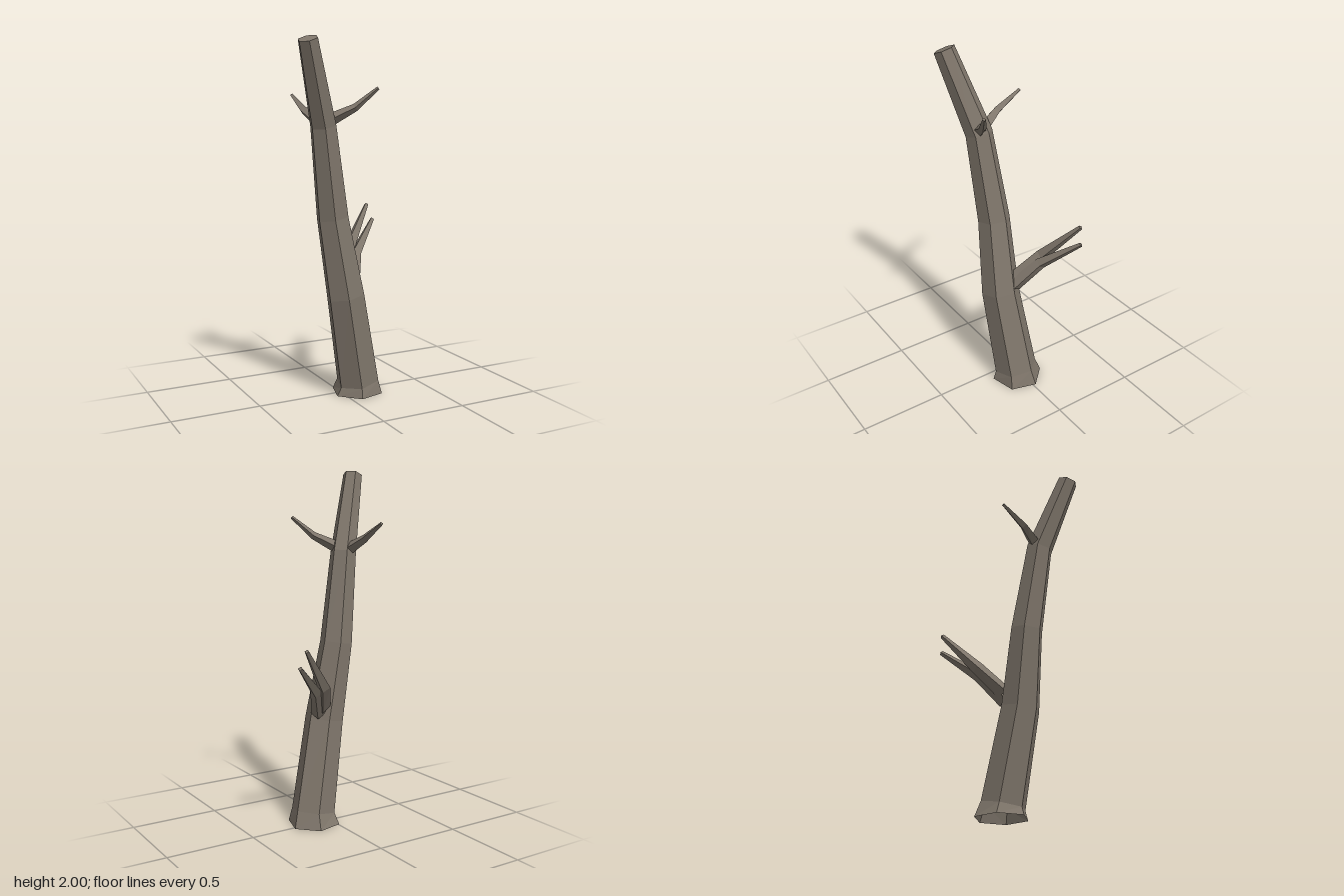
import * as THREE from 'three';

// Skin a list of rings (arrays of Vector3) and close the far end
function loft(rings) {
  const pos = [];
  const tri = (...pts) => pts.forEach((p) => pos.push(p.x, p.y, p.z));
  const n = rings[0].length;
  for (let k = 0; k < rings.length - 1; k++) {
    const a = rings[k], b = rings[k + 1];
    for (let i = 0; i < n; i++) {
      const j = (i + 1) % n;
      tri(a[i], b[i], a[j]);
      tri(a[j], b[i], b[j]);
    }
  }
  const end = rings[rings.length - 1];
  for (let i = 1; i < n - 1; i++) tri(end[0], end[i + 1], end[i]);
  const geo = new THREE.BufferGeometry();
  geo.setAttribute('position', new THREE.Float32BufferAttribute(pos, 3));
  geo.computeVertexNormals();
  return geo;
}

// Six-sided trunk rings [x, y, z, radius], sheared to follow the lean
function trunkRings(path) {
  return path.map(([x, y, z, r], k) => {
    const p = path[Math.max(k - 1, 0)], q = path[Math.min(k + 1, path.length - 1)];
    const sx = k ? (q[0] - p[0]) / (q[1] - p[1]) : 0;
    const sz = k ? (q[2] - p[2]) / (q[1] - p[1]) : 0;
    return Array.from({ length: 6 }, (_, i) => {
      const t = THREE.MathUtils.degToRad(-14 + i * 60);
      const dx = r * Math.cos(t), dz = r * Math.sin(t);
      return new THREE.Vector3(x + dx, y - sx * dx - sz * dz, z + dz);
    });
  });
}

// Four-sided branch rings square to the path, with a ridge on top
function branchRings(path) {
  const pts = path.map((p) => new THREE.Vector3(p[0], p[1], p[2]));
  return pts.map((c, k) => {
    const d = pts[Math.min(k + 1, pts.length - 1)].clone().sub(pts[Math.max(k - 1, 0)]).normalize();
    const u = new THREE.Vector3(0, 1, 0).addScaledVector(d, -d.y).normalize();
    const v = u.clone().cross(d);
    return Array.from({ length: 4 }, (_, i) => {
      const t = (i * Math.PI) / 2, r = path[k][3];
      return c.clone().addScaledVector(u, r * Math.cos(t)).addScaledVector(v, r * Math.sin(t));
    });
  });
}

export function createModel() {
  const bark = new THREE.MeshStandardMaterial({ color: 0x7f766b, flatShading: true, side: THREE.DoubleSide });
  bark.name = 'bark';
  const group = new THREE.Group();
  group.name = 'deadTree';
  const add = (name, rings) => {
    const mesh = new THREE.Mesh(loft(rings), bark);
    mesh.name = name;
    group.add(mesh);
  };

  // Leaning trunk with a flared, open foot
  add('trunk', trunkRings([
    [0.097, 0, 0.02, 0.15],
    [0.095, 0.07, 0.03, 0.125],
    [-0.005, 0.59, 0.07, 0.11],
    [-0.08, 1.03, 0.06, 0.092],
    [-0.155, 1.535, 0.1, 0.074],
    [-0.295, 1.98, 0.213, 0.055],
  ]));

  // Bent side branches
  const branches = {
    lowerBranchTop: [[0.05, 0.68, 0, 0.045], [0.122, 0.82, -0.13, 0.036], [0.305, 1.05, -0.255, 0.013]],
    lowerBranchBottom: [[0.065, 0.64, 0.02, 0.042], [0.15, 0.79, -0.1, 0.034], [0.335, 0.96, -0.238, 0.013]],
    upperBranchFront: [[-0.115, 1.57, 0.118, 0.034], [0, 1.633, 0.175, 0.021], [0.106, 1.735, 0.232, 0.009]],
    upperBranchBack: [[-0.17, 1.565, 0.045, 0.034], [-0.2, 1.617, -0.05, 0.024], [-0.205, 1.7, -0.2, 0.01]],
  };
  for (const [name, path] of Object.entries(branches)) add(name, branchRings(path));
  return group;
}
